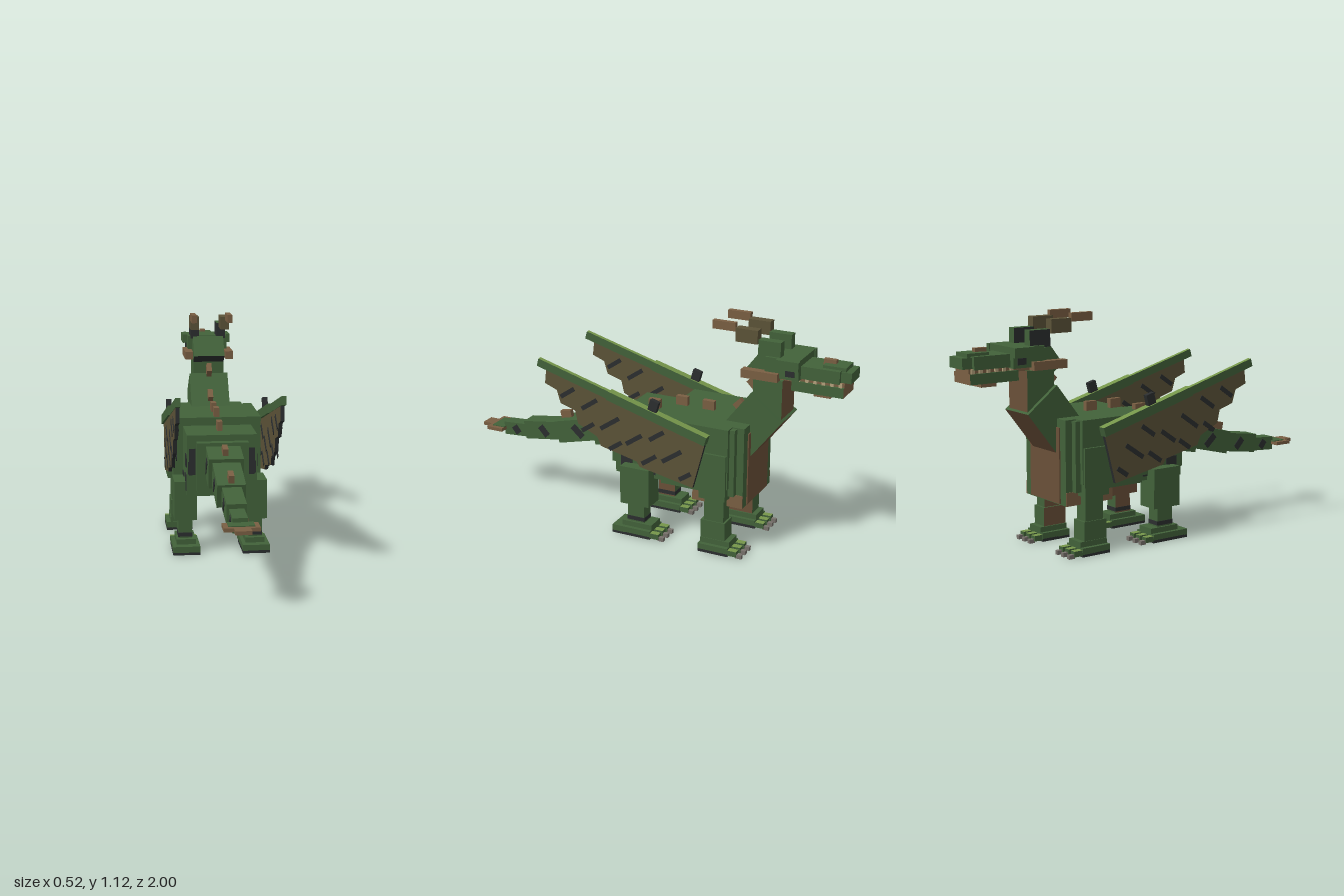
import * as THREE from 'three';

const mat = (name, color) => {
  const m = new THREE.MeshStandardMaterial({ color });
  m.name = name;
  return m;
};

export function createModel() {
  const green = mat('scaleGreen', 0x42623a);
  const light = mat('lightGreen', 0x76964a);
  const brown = mat('hornBrown', 0x7a5f43);
  const belly = mat('bellyBrown', 0x6a5038);
  const olive = mat('wingOlive', 0x5c5338);
  const dark = mat('camoDark', 0x2b2e2f);
  const grey = mat('clawGrey', 0x77716b);
  const bone = mat('toothBone', 0xb5a27c);

  const root = new THREE.Group();
  root.name = 'wingedLizard';

  // Box from ranges [x0,x1],[y0,y1],[z0,z1], tilted by rx around its centre
  const box = (name, m, x, y, z, rx = 0, parent = root) => {
    const g = new THREE.BoxGeometry(x[1] - x[0], y[1] - y[0], z[1] - z[0]);
    const b = new THREE.Mesh(g, m);
    b.position.set((x[0] + x[1]) / 2, (y[0] + y[1]) / 2, (z[0] + z[1]) / 2);
    b.rotation.x = rx;
    b.name = name;
    parent.add(b);
    return b;
  };
  const mid = (name, m, hw, y, z, rx = 0) => box(name, m, [-hw, hw], y, z, rx);
  // Same box on both sides
  const pair = (name, m, x, y, z, rx = 0) => {
    box(name + 'Left', m, x, y, z, rx);
    box(name + 'Right', m, [-x[1], -x[0]], y, z, rx);
  };
  // Face order: +x, -x, top, bottom, +z, -z
  const under = [green, green, green, belly, green, green];
  const underAndFront = [green, green, green, belly, green, belly];

  // Torso
  mid('chest', under, 0.17, [0.235, 0.64], [-0.535, -0.275]);
  mid('chestPlate', belly, 0.125, [0.24, 0.6], [-0.541, -0.535]);
  pair('chestLowerBand', brown, [0.168, 0.174], [0.235, 0.3], [-0.535, -0.275]);
  mid('ribs', under, 0.2, [0.3, 0.635], [-0.5, -0.12]);
  mid('shoulders', under, 0.22, [0.34, 0.64], [-0.475, -0.1]);
  mid('loin', under, 0.17, [0.3, 0.6], [-0.12, 0.14]);
  mid('pelvis', under, 0.125, [0.33, 0.57], [0.1, 0.185]);
  for (const [x, y, w, h] of [[0.145, 0.47, 0.03, 0.13], [0.155, 0.44, 0.02, 0.06], [0.11, 0.38, 0.03, 0.04]])
    pair('flankPatch', dark, [x - w / 2, x + w / 2], [y - h / 2, y + h / 2], [0.139, 0.143]);
  for (const [y, z, h, d] of [[0.36, 0.08, 0.08, 0.06], [0.47, 0.1, 0.06, 0.05], [0.35, -0.06, 0.06, 0.07]])
    pair('hipPatch', dark, [0.169, 0.174], [y - h / 2, y + h / 2], [z - d / 2, z + d / 2]);

  // Tail: half width, height, z start, z end, centre height, tilt
  [
    [0.083, 0.15, 0.12, 0.32, 0.47, 0.2],
    [0.066, 0.115, 0.3, 0.54, 0.425, 0.24],
    [0.045, 0.095, 0.52, 0.74, 0.382, 0.14],
    [0.034, 0.068, 0.72, 0.87, 0.355, 0.06],
  ].forEach(([hw, h, z0, z1, y, a], i) => {
    mid('tailSegment' + (i + 1), under, hw, [y - h / 2, y + h / 2], [z0, z1], a);
    const z = z0 + (z1 - z0) * 0.4;
    pair('tailPatch', dark, [hw - 0.002, hw + 0.003], [y - h * 0.35, y + h * 0.3], [z, z + 0.035], a + 0.6);
  });
  mid('tailFin', brown, 0.08, [0.345, 0.362], [0.86, 0.95]);
  mid('tailFinTop', green, 0.058, [0.36, 0.366], [0.86, 0.93]);
  mid('tailTip', brown, 0.036, [0.345, 0.362], [0.95, 1.0]);

  // Back and tail spikes
  for (const [z, y, a] of [[-0.28, 0.66, 0], [-0.14, 0.66, 0], [0.01, 0.62, 0], [0.27, 0.545, 0.2], [0.51, 0.475, 0.2]])
    mid('backSpike', brown, 0.013, [y - 0.025, y + 0.025], [z - 0.03, z + 0.03], a);
  mid('neckSpikeLower', brown, 0.013, [0.66, 0.71], [-0.475, -0.415], -0.8);
  mid('neckSpikeUpper', brown, 0.013, [0.79, 0.84], [-0.535, -0.485], -0.8);

  // Neck
  mid('lowerNeck', underAndFront, 0.1, [0.51, 0.76], [-0.635, -0.435], -0.66);
  mid('upperNeck', underAndFront, 0.08, [0.66, 0.87], [-0.68, -0.535]);
  mid('nape', [green, green, green, dark, green, green], 0.08, [0.84, 0.96], [-0.64, -0.51], -0.65);

  // Head
  mid('skull', under, 0.103, [0.89, 0.985], [-0.765, -0.6]);
  pair('brow', green, [0.1, 0.125], [0.94, 0.985], [-0.77, -0.66]);
  pair('cheekHorn', brown, [0.085, 0.125], [0.875, 0.915], [-0.67, -0.49]);
  pair('eye', dark, [0.102, 0.107], [0.905, 0.935], [-0.745, -0.7]);
  mid('snout', under, 0.075, [0.895, 0.955], [-0.95, -0.76]);
  mid('snoutTip', under, 0.057, [0.9, 0.95], [-1.0, -0.95]);
  mid('nostrilBridge', green, 0.05, [0.95, 0.968], [-0.97, -0.86]);
  mid('noseSpike', brown, 0.013, [0.955, 0.985], [-0.91, -0.85]);
  mid('mouth', brown, 0.06, [0.87, 0.9], [-0.97, -0.62]);
  mid('lowerJaw', [green, green, green, brown, green, brown], 0.072, [0.83, 0.878], [-0.97, -0.72]);
  mid('chin', brown, 0.045, [0.81, 0.835], [-0.9, -0.82]);
  for (let i = 0; i < 6; i++) {
    const z = -0.96 + i * 0.04;
    pair('tooth', bone, [0.06, 0.069], [0.872, 0.898], [z, z + 0.016]);
  }

  // Horns in three steps
  pair('hornBase', [green, dark, green, dark, dark, green], [0.046, 0.09], [0.975, 1.055], [-0.67, -0.56]);
  pair('hornMiddle', olive, [0.056, 0.1], [1.035, 1.1], [-0.56, -0.45]);
  pair('hornTip', brown, [0.078, 0.103], [1.083, 1.123], [-0.45, -0.335]);

  // Legs
  const leg = (side, label, z, front) => {
    const g = new THREE.Group();
    g.name = label + 'Leg' + (side > 0 ? 'Left' : 'Right');
    root.add(g);
    const part = (name, m, x, y, zz) =>
      box(name, m, side > 0 ? x : [-x[1], -x[0]], y, [zz[0] + z, zz[1] + z], 0, g);
    const inner = side > 0
      ? [green, belly, green, belly, green, green]
      : [belly, green, green, belly, green, green];
    if (front) {
      part('upperLeg', inner, [0.12, 0.232], [0.28, 0.51], [-0.07, 0.065]);
      part('lowerLeg', inner, [0.14, 0.21], [0.14, 0.29], [-0.055, 0.045]);
      part('shin', inner, [0.13, 0.215], [0.06, 0.16], [-0.065, 0.06]);
    } else {
      part('upperLeg', inner, [0.117, 0.228], [0.165, 0.36], [-0.08, 0.075]);
      part('lowerLeg', inner, [0.14, 0.207], [0.06, 0.17], [-0.045, 0.045]);
      part('shinPatch', dark, [0.138, 0.209], [0.075, 0.095], [-0.047, 0.047]);
    }
    const back = front ? 0.065 : 0.115;
    part('ankle', under, [0.123, 0.218], [0.035, 0.068], [-0.09, front ? 0.06 : 0.07]);
    part('foot', under, [0.105, 0.238], [0.012, 0.042], [-0.09, back]);
    part('sole', [dark, dark, dark, belly, dark, dark], [0.105, 0.238], [0, 0.014], [-0.09, back]);
    for (const x of [0.122, 0.171, 0.221]) {
      part('toe', [green, green, light, dark, green, green], [x - 0.016, x + 0.016], [0.008, 0.035], [-0.135, -0.08]);
      part('claw', grey, [x - 0.01, x + 0.01], [0, 0.02], [-0.16, -0.13]);
    }
  };
  for (const s of [1, -1]) {
    leg(s, 'front', -0.4, true);
    leg(s, 'hind', 0.013, false);
  }

  // Wings: stepped upright membranes under a sloping arm
  const edge = [
    [-0.375, 0.58], [0.475, 0.815], [0.485, 0.73], [0.42, 0.705], [0.4, 0.64], [0.32, 0.615],
    [0.305, 0.55], [0.2, 0.5], [0.18, 0.455], [-0.015, 0.41], [-0.03, 0.385], [-0.31, 0.33],
  ];
  const shape = new THREE.Shape(edge.map(([z, y]) => new THREE.Vector2(z, y)));
  const membrane = new THREE.ExtrudeGeometry(shape, { depth: 0.018, bevelEnabled: false });
  membrane.rotateY(-Math.PI / 2).translate(0.009, 0, 0);
  const armFaces = [green, green, light, green, green, green];
  const blots = [
    [0.36, 0.7, 0.09], [0.24, 0.66, 0.1], [0.25, 0.54, 0.08], [0.13, 0.58, 0.12], [0.1, 0.47, 0.08],
    [0.0, 0.52, 0.1], [-0.08, 0.43, 0.09], [-0.12, 0.56, 0.09], [-0.2, 0.47, 0.12], [-0.27, 0.38, 0.07],
  ];
  for (const s of [1, -1]) {
    const w = new THREE.Group();
    w.name = s > 0 ? 'leftWing' : 'rightWing';
    w.position.x = s * 0.24;
    root.add(w);
    const skin = new THREE.Mesh(membrane, [olive, dark]);
    skin.name = 'wingMembrane';
    w.add(skin);
    box('wingArm', armFaces, [-0.02, 0.02], [0.63, 0.675], [-0.387, 0.147], -0.275, w);
    box('wingArmTip', armFaces, [-0.011, 0.011], [0.758, 0.798], [0.13, 0.53], -0.275, w);
    box('wingClaw', dark, [-0.012, 0.012], [0.68, 0.735], [-0.125, -0.08], -0.275, w);
    // Camouflage blots on both faces of the membrane
    for (const [z, y, l] of blots)
      for (const f of [1, -1])
        box('wingBlot', dark, [f * 0.01 - 0.002, f * 0.01 + 0.002], [y - 0.011, y + 0.011],
          [z - l / 2, z + l / 2], 0.6, w);
  }

  return root;
}
